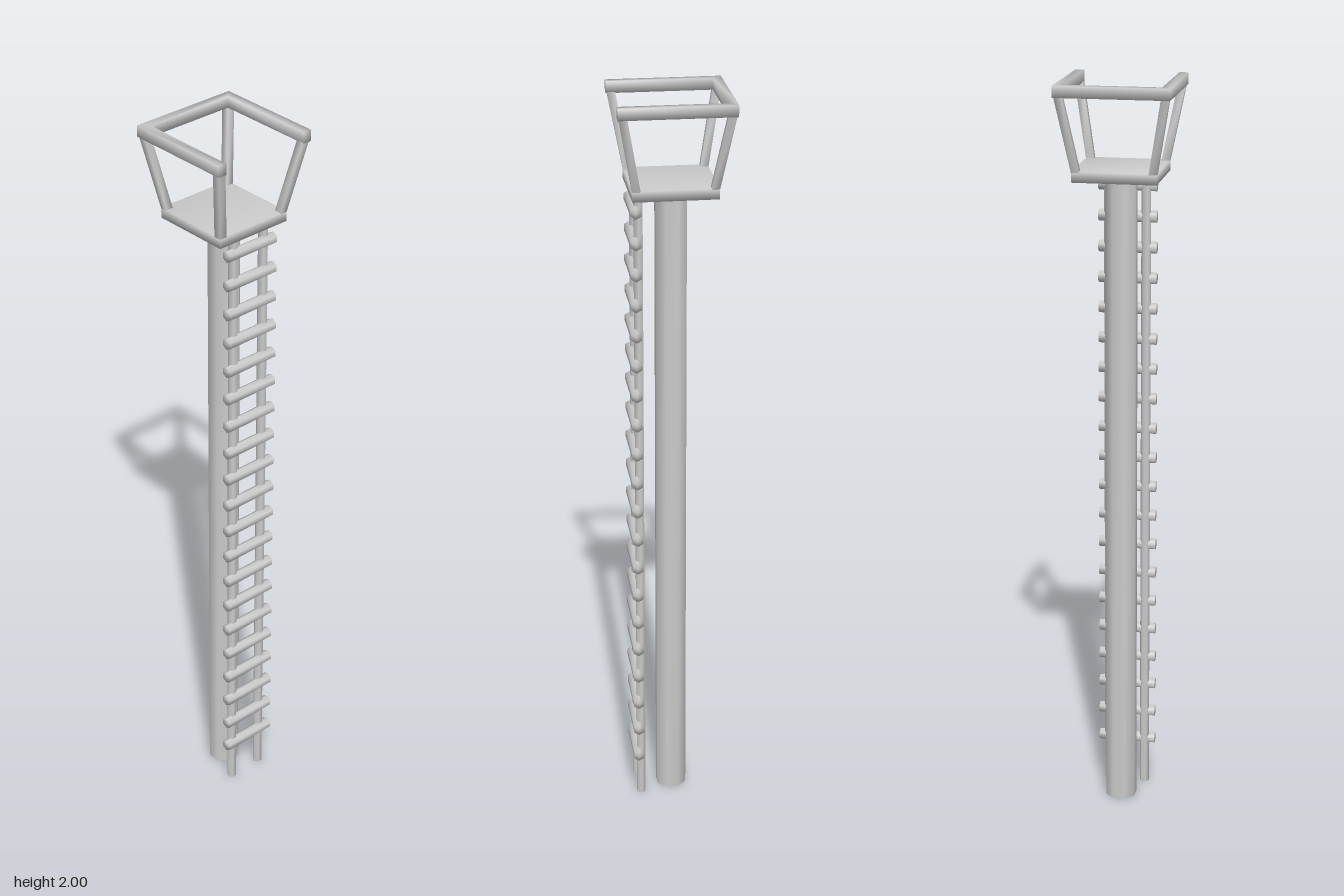
import * as THREE from 'three';
import { mergeVertices } from 'three/addons/utils/BufferGeometryUtils.js';

const material = new THREE.MeshStandardMaterial({ color: 0xcccccc });

// Weld all corners so the shading runs softly over the edges
function soften(geometry) {
  geometry.deleteAttribute('normal');
  geometry.deleteAttribute('uv');
  const welded = mergeVertices(geometry, 1e-5);
  welded.computeVertexNormals();
  return welded;
}

function part(name, geometry, x = 0, y = 0, z = 0) {
  const mesh = new THREE.Mesh(soften(geometry), material);
  mesh.name = name;
  mesh.position.set(x, y, z);
  return mesh;
}

export function createModel() {
  const model = new THREE.Group();
  model.name = 'lookoutTower';
  const platformY = 1.75;

  // Octagonal mast with flats facing front and sides
  const mast = new THREE.CylinderGeometry(0.0433, 0.0433, platformY + 0.005, 8).rotateY(Math.PI / 8);
  model.add(part('mast', mast, 0, (platformY + 0.005) / 2, 0));

  // Ladder on the front: two six-sided rails and twenty rungs
  const ladder = new THREE.Group();
  ladder.name = 'ladder';
  for (const side of [-1, 1]) {
    const rail = new THREE.CylinderGeometry(0.013, 0.013, platformY + 0.005, 6).rotateY(Math.PI / 6);
    ladder.add(part('ladderRail', rail, side * 0.05, (platformY + 0.005) / 2, 0.09));
  }
  for (let i = 0; i < 20; i++) {
    const rung = new THREE.CylinderGeometry(0.016, 0.016, 0.156, 6).rotateZ(Math.PI / 2).rotateX(Math.PI / 6);
    // Turn a ridge upward
    rung.computeBoundingBox();
    if (rung.boundingBox.max.y < 0.0155) rung.rotateX(Math.PI / 6);
    ladder.add(part('rung', rung, 0, 0.13 + i * 0.0832, 0.098));
  }
  model.add(ladder);

  // Square platform
  model.add(part('platform', new THREE.BoxGeometry(0.221, 0.028, 0.221), 0, platformY + 0.014, 0));

  // Four corner posts leaning outward
  const low = 1.77, high = 1.975;
  for (const sx of [-1, 1]) {
    for (const sz of [-1, 1]) {
      const post = new THREE.BoxGeometry(0.021, high - low, 0.021);
      const p = post.attributes.position;
      for (let i = 0; i < p.count; i++) {
        const spread = p.getY(i) > 0 ? 0.137 : 0.099;
        p.setX(i, p.getX(i) + sx * spread);
        p.setZ(i, p.getZ(i) + sz * spread);
      }
      model.add(part('railingPost', post, 0, (low + high) / 2, 0));
    }
  }

  // U-shaped handrail, open toward the ladder
  const o = 0.15, n = 0.126;
  const outline = new THREE.Shape(
    [[-o, -o], [-n, -o], [-n, n], [n, n], [n, -o], [o, -o], [o, o], [-o, o]].map(([x, y]) => new THREE.Vector2(x, y))
  );
  const handrail = new THREE.ExtrudeGeometry(outline, { depth: 0.03, bevelEnabled: false }).rotateX(-Math.PI / 2);
  model.add(part('handrail', handrail, 0, 1.97, 0));

  return model;
}
